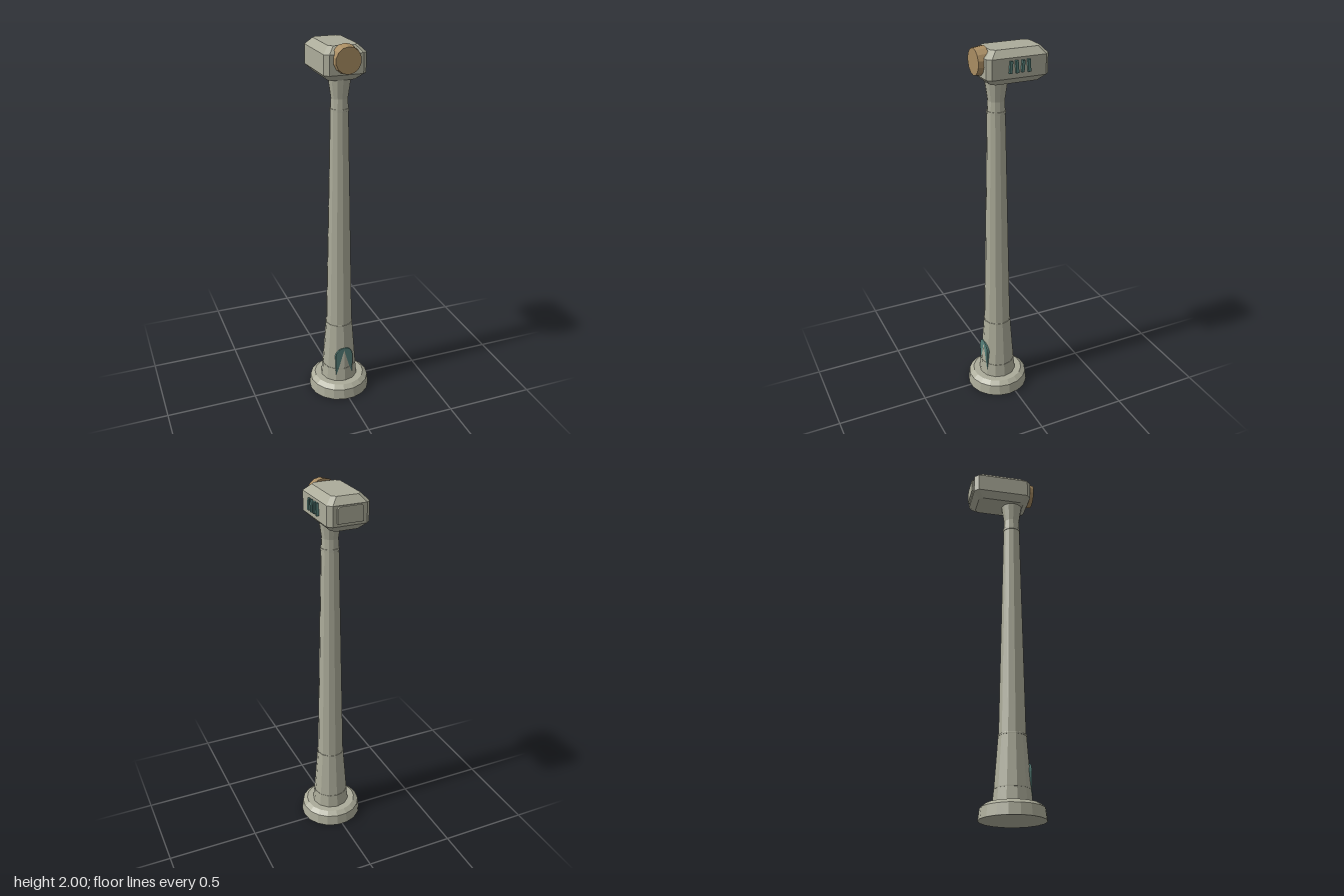
import * as THREE from 'three';

const makeMat = (name, color, side = THREE.FrontSide) => {
  const m = new THREE.MeshStandardMaterial({ color, side, flatShading: true });
  m.name = name;
  return m;
};

// Chamfered rectangle loop in plan, counter-clockwise seen from above
function chamferLoop(y, hx, zBack, zFront, c) {
  return [
    [hx - c, zFront], [hx, zFront - c], [hx, zBack + c], [hx - c, zBack],
    [c - hx, zBack], [-hx, zBack + c], [-hx, zFront - c], [c - hx, zFront],
  ].map(([x, z]) => [x, y, z]);
}

// Closed solid through a stack of loops
function loftLoops(loops) {
  const n = loops[0].length, idx = [];
  for (let l = 0; l < loops.length - 1; l++) {
    for (let i = 0; i < n; i++) {
      const a = l * n + i, b = l * n + (i + 1) % n;
      idx.push(a, b, b + n, a, b + n, a + n);
    }
  }
  const top = (loops.length - 1) * n;
  for (let i = 1; i < n - 1; i++) {
    idx.push(0, i + 1, i, top, top + i, top + i + 1);
  }
  const geo = new THREE.BufferGeometry();
  geo.setAttribute('position', new THREE.Float32BufferAttribute(loops.flat(2), 3));
  geo.setIndex(idx);
  const flat = geo.toNonIndexed();
  flat.computeVertexNormals();
  return flat;
}

const lathe = (points, sides, start = 0) =>
  new THREE.LatheGeometry(points.map(([r, y]) => new THREE.Vector2(r, y)), sides, start);

export function createModel() {
  const model = new THREE.Group();
  model.name = 'turbineTower';
  const body = makeMat('stoneGrey', 0xacac9a);
  const bronze = makeMat('bronze', 0xa88c62);
  const teal = makeMat('teal', 0x56807a);
  const axisZ = 0.04;

  const add = (name, geo, mat, x = 0, y = 0, z = 0) => {
    const mesh = new THREE.Mesh(geo, mat);
    mesh.name = name;
    mesh.position.set(x, y, z);
    model.add(mesh);
    return mesh;
  };

  // Round foundation with a bevelled rim
  add('foundation', lathe([[0, 0], [0.172, 0], [0.165, 0.06], [0.14, 0.08], [0, 0.08]], 18, Math.PI / 18),
    body, 0, 0, axisZ);

  // Tapering tower, flaring under the housing
  add('tower', lathe([[0.105, 0.07], [0.096, 0.155], [0.075, 0.43], [0.073, 0.435],
    [0.047, 1.66], [0.044, 1.72], [0.06, 1.83]], 12), body, 0, 0, axisZ);

  // Seam rings
  for (const [r, y, h] of [[0.0975, 0.155, 0.006], [0.077, 0.428, 0.008], [0.0495, 1.662, 0.014]]) {
    add('seamRing', new THREE.CylinderGeometry(r, r, h, 12), body, 0, y, axisZ);
  }

  // Arched door set into the tower front
  const arch = new THREE.Shape();
  arch.moveTo(-0.05, 0.08);
  arch.lineTo(0.05, 0.08);
  arch.lineTo(0.05, 0.24);
  arch.absarc(0, 0.24, 0.05, 0, Math.PI, false);
  arch.lineTo(-0.05, 0.08);
  add('door', new THREE.ExtrudeGeometry(arch, { depth: 0.02, bevelEnabled: false, curveSegments: 5 }),
    teal, 0, 0, 0.107);

  // Bevelled housing
  add('housing', loftLoops([
    chamferLoop(1.82, 0.076, -0.165, 0.097, 0.02),
    chamferLoop(1.853, 0.11, -0.198, 0.133, 0.022),
    chamferLoop(1.953, 0.11, -0.198, 0.133, 0.022),
    chamferLoop(1.988, 0.076, -0.167, 0.097, 0.02),
  ]), body, 0.003, 0, 0);

  // Raised rear panel
  const panel = new THREE.Shape();
  panel.moveTo(-0.066, 1.868);
  panel.lineTo(0.066, 1.868);
  panel.lineTo(0.066, 1.94);
  panel.lineTo(0.056, 1.95);
  panel.lineTo(-0.056, 1.95);
  panel.lineTo(-0.066, 1.94);
  add('rearPanel', new THREE.ExtrudeGeometry(panel, { depth: 0.014, bevelEnabled: false }),
    body, 0.003, 0, -0.209);

  // Rotor hub
  const hub = add('hub', new THREE.CylinderGeometry(0.066, 0.074, 0.057, 14), bronze, 0.003, 1.926, 0.133);
  hub.rotation.x = Math.PI / 2;

  // Slanted vent slats on the left side
  [0.016, -0.016, -0.048, -0.08].forEach((z, i) => {
    const slat = add('vent', new THREE.BoxGeometry(0.014, 0.058 + 0.003 * (i % 2), 0.014), teal, 0.119, 1.91, z);
    slat.rotation.x = i % 2 ? 0.08 : -0.08;
  });

  return model;
}
